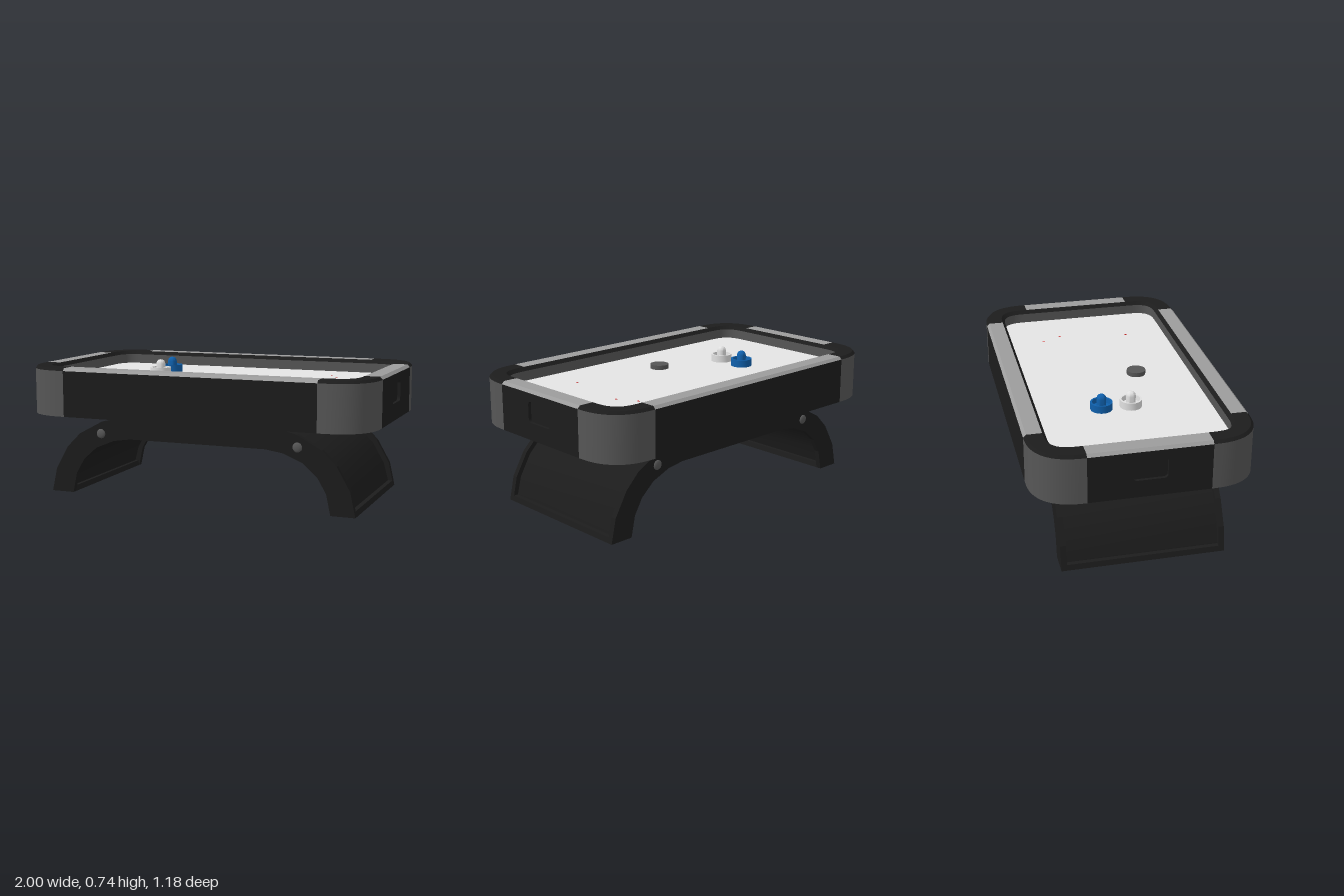
import * as THREE from 'three';
import { toCreasedNormals } from 'three/addons/utils/BufferGeometryUtils.js';

const mat = (name, color) => {
  const m = new THREE.MeshStandardMaterial({ color });
  m.name = name;
  return m;
};

export function createModel() {
  const black = mat('black', 0x1c1c1c);
  const charcoal = mat('charcoal grey', 0x565656);
  const railGrey = mat('rail grey', 0x9c9c9c);
  const surface = mat('playfield grey', 0xe4e4e4);
  const white = mat('mallet white', 0xe0e0e0);
  const blue = mat('mallet blue', 0x0f60ac);
  const red = mat('marking red', 0xd02020);

  const model = new THREE.Group();
  const add = (name, geo, material, x = 0, y = 0, z = 0, parent = model) => {
    const mesh = new THREE.Mesh(geo, material);
    mesh.name = name;
    mesh.position.set(x, y, z);
    parent.add(mesh);
    return mesh;
  };
  const extrude = (shape, depth) =>
    new THREE.ExtrudeGeometry(shape, { depth, bevelEnabled: false, curveSegments: 12 });
  const polygon = (pts) => new THREE.Shape(pts.map(([x, y]) => new THREE.Vector2(x, y)));

  // Cabinet plan: corner centres and outer radius; corners grow squarer towards the inside
  const CX = 0.73, CZ = 0.32, R = 0.27;
  const SEG = 16;
  const rim = (k, t, [inset, y]) => {
    const mid = ((k % 4) + 0.5) * Math.PI / 2;
    const a = ((k % 4) + t) * Math.PI / 2;
    const power = 2 / (2.5 + inset * 7);
    const squared = (v) => (Math.abs(v) < 1e-9 ? 0 : Math.sign(v) * Math.abs(v) ** power);
    return [
      Math.sign(Math.cos(mid)) * CX + (R - inset) * squared(Math.cos(a)), y,
      Math.sign(Math.sin(mid)) * CZ + (R - inset) * squared(Math.sin(a)),
    ];
  };
  // Strip between two profile points, along corner k or the straight after it
  const strip = (k, isCorner, a, b) => {
    const pos = [], index = [];
    const n = isCorner ? SEG : 1;
    for (let i = 0; i <= n; i++) {
      const [kk, t] = isCorner ? [k, i / n] : i === 0 ? [k, 1] : [k + 1, 0];
      pos.push(...rim(kk, t, a), ...rim(kk, t, b));
      if (i < n) {
        const v = i * 2;
        index.push(v, v + 1, v + 2, v + 1, v + 3, v + 2);
      }
    }
    const g = new THREE.BufferGeometry();
    g.setAttribute('position', new THREE.Float32BufferAttribute(pos, 3));
    g.setIndex(index);
    g.computeVertexNormals();
    return g;
  };

  // Rim profile as [inset, height]: from point, to point, corner and straight colour
  const bands = [
    ['outerWall', [0, 0.46], [0, 0.715], charcoal, black],
    ['railBevel', [0, 0.715], [0.015, 0.73], black, railGrey],
    ['railTop', [0.015, 0.73], [0.097, 0.73], black, railGrey],
    ['railInnerChamfer', [0.097, 0.73], [0.115, 0.71], black, black],
    ['railInnerWall', [0.115, 0.71], [0.115, 0.655], charcoal, charcoal],
    ['skirtInnerWall', [0.02, 0.655], [0.02, 0.46], charcoal, black],
    ['skirtLip', [0.02, 0.46], [0, 0.46], charcoal, black],
  ];
  const cabinet = new THREE.Group();
  cabinet.name = 'cabinet';
  model.add(cabinet);
  for (const [name, a, b, cornerMat, sideMat] of bands) {
    for (let k = 0; k < 4; k++) {
      add(name + 'Corner', strip(k, true, a, b), cornerMat, 0, 0, 0, cabinet);
      const endPanel = k % 2 === 1 && (name === 'outerWall' || name === 'skirtInnerWall');
      if (!endPanel) add(name + 'Side', strip(k, false, a, b), sideMat, 0, 0, 0, cabinet);
    }
  }

  // End panels with a recessed hand grip
  const gripOutline = () => {
    const p = new THREE.Path();
    const w = 0.07, h = 0.037, r = 0.02, y = 0.612;
    p.absarc(w, y + h, r, 0, Math.PI / 2);
    p.absarc(-w, y + h, r, Math.PI / 2, Math.PI);
    p.absarc(-w, y - h, r, Math.PI, Math.PI * 1.5);
    p.absarc(w, y - h, r, Math.PI * 1.5, Math.PI * 2);
    return p.closePath();
  };
  for (const s of [-1, 1]) {
    const wall = polygon([[-CZ, 0.46], [CZ, 0.46], [CZ, 0.715], [-CZ, 0.715]]);
    wall.holes.push(gripOutline());
    const panel = add('endPanel', extrude(wall, 0.02), black, s * 0.98, 0, 0, cabinet);
    panel.rotation.y = s * Math.PI / 2;
    add('gripBack', new THREE.BoxGeometry(0.006, 0.13, 0.2), black, s * 0.98, 0.612, 0, cabinet);
  }

  // Playing surface, fitted inside the skirt
  const plan = [];
  for (let k = 0; k < 4; k++) {
    for (let i = 0; i <= SEG; i++) {
      const [x, , z] = rim(k, i / SEG, [0.02, 0]);
      plan.push([x, z]);
    }
  }
  const board = extrude(polygon(plan), 0.025);
  board.rotateX(-Math.PI / 2);
  add('playfield', board, surface, 0, 0.63, 0);

  // Small red spots on the playfield
  for (const [x, z] of [[0.555, -0.27], [0.615, -0.16], [0.555, 0.24]]) {
    add('redSpot', new THREE.BoxGeometry(0.008, 0.002, 0.012), red, x, 0.6555, z);
  }

  // Arched legs: half outlines from foot to crown
  const outer = [[0.9, 0], [0.87, 0.135], [0.795, 0.265], [0.715, 0.345], [0.575, 0.42], [0.4, 0.46]];
  const inner = [[0.765, 0], [0.74, 0.115], [0.69, 0.2], [0.61, 0.27], [0.5, 0.315], [0.4, 0.33]];
  const flip = (pts) => pts.map(([x, y]) => [-x, y]);
  const arch = polygon([
    ...outer, ...flip(outer).reverse(), ...flip(inner), ...[...inner].reverse(),
  ]);
  for (const s of [-1, 1]) {
    add('legArch', extrude(arch, 0.03), black, 0, 0, s > 0 ? 0.41 : -0.44);
    for (const x of [-0.58, 0.58]) {
      const bolt = add('legBolt', new THREE.SphereGeometry(0.027, 16, 10), charcoal, x, 0.352, s * 0.44);
      bolt.scale.z = 0.4;
    }
  }

  // Curved panels and foot bars joining the arches
  const between = (f) => outer.map(([x, y], i) => [
    x + (inner[i][0] - x) * f, Math.max(0.02, y + (inner[i][1] - y) * f),
  ]);
  const legPanel = [...between(0.22), ...between(0.78).reverse()];
  const foot = [[0.9, 0], [0.893, 0.03], [0.772, 0.03], [0.765, 0]];
  for (const side of [(p) => p, flip]) {
    const panel = toCreasedNormals(extrude(polygon(side(legPanel)), 0.82), 0.7);
    add('legPanel', panel, black, 0, 0, -0.41);
    add('footBar', extrude(polygon(side(foot)), 0.82), black, 0, 0, -0.41);
  }

  // Mallets: open cup with a domed knob
  const lathe = (pts) => toCreasedNormals(
    new THREE.LatheGeometry(pts.map(([x, y]) => new THREE.Vector2(x, y)), 32), 0.6);
  const cup = lathe([[0, 0], [0.06, 0], [0.06, 0.042], [0.05, 0.042], [0.047, 0.015], [0, 0.015]]);
  const knob = lathe([
    [0.026, 0.01], [0.026, 0.062], [0.024, 0.072], [0.019, 0.08], [0.011, 0.085], [0, 0.087],
  ]);
  for (const [name, material, z] of [['blueMallet', blue, -0.117], ['whiteMallet', white, 0.045]]) {
    const mallet = new THREE.Group();
    mallet.name = name;
    mallet.position.set(-0.39, 0.655, z);
    model.add(mallet);
    add('cup', cup, material, 0, 0, 0, mallet);
    add('knob', knob, material, 0, 0, 0, mallet);
  }

  // Puck
  add('puck', new THREE.CylinderGeometry(0.053, 0.053, 0.025, 32), charcoal, 0, 0.6675, 0.17);

  return model;
}
